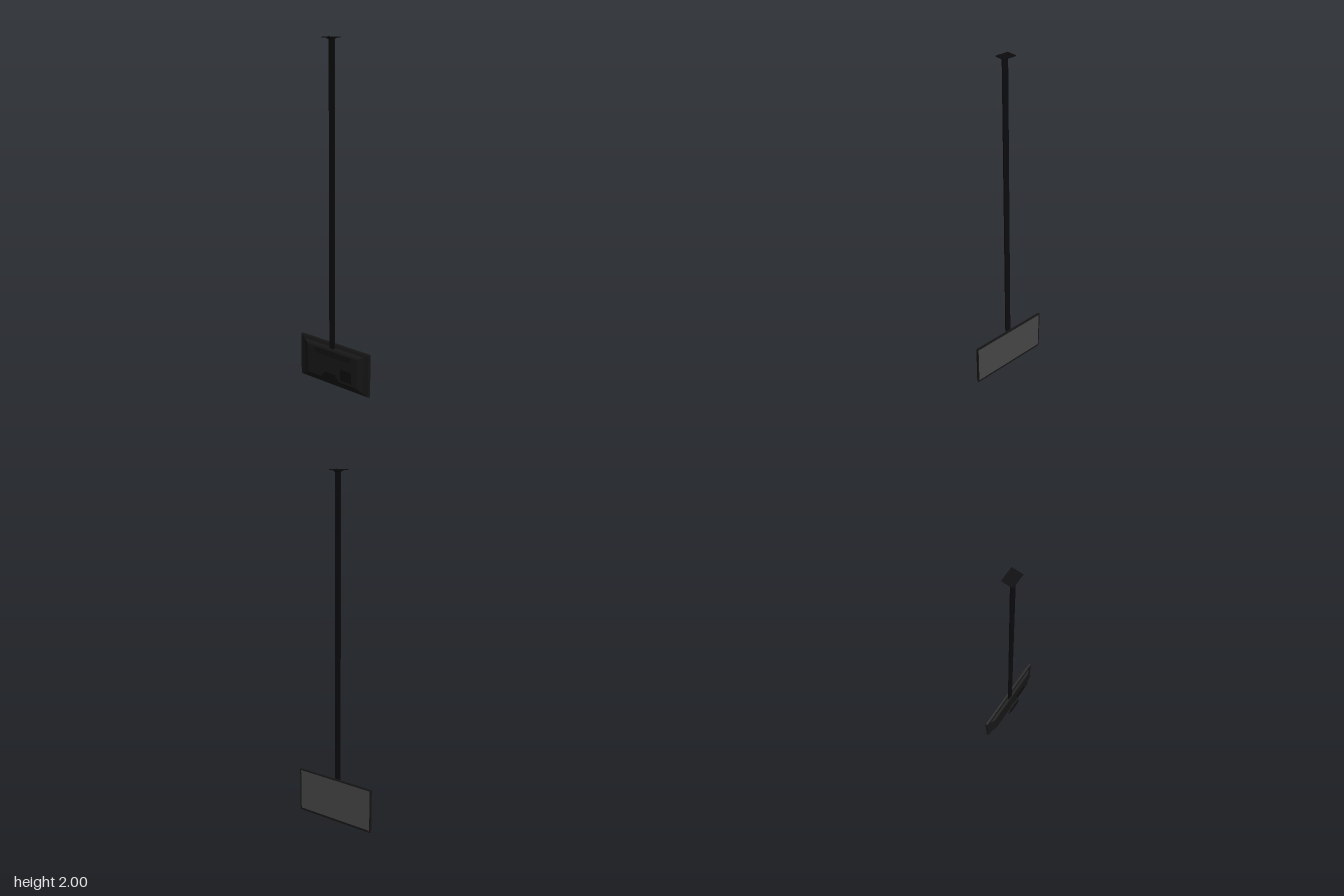
import * as THREE from 'three';

const mat = (color) => new THREE.MeshStandardMaterial({ color, flatShading: true });
const black = mat(0x0c0c0e), casing = mat(0x161616), glass = mat(0x454545), red = mat(0x900010);

function add(parent, name, geometry, material, x = 0, y = 0, z = 0) {
  const mesh = new THREE.Mesh(geometry, material);
  mesh.name = name;
  mesh.position.set(x, y, z);
  parent.add(mesh);
  return mesh;
}
const box = (x, y, z) => new THREE.BoxGeometry(x, y, z);

// Closed loft through rectangles [x, zHalf, yLow, yHigh], ordered from +x to -x
function loftRects(sections) {
  const pos = [], idx = [];
  for (const [x, z, lo, hi] of sections) pos.push(x, lo, z, x, lo, -z, x, hi, -z, x, hi, z);
  const last = (sections.length - 1) * 4;
  for (let s = 0; s < last; s += 4) {
    for (let i = 0; i < 4; i++) {
      const j = (i + 1) % 4;
      idx.push(s + i, s + 4 + i, s + j, s + j, s + 4 + i, s + 4 + j);
    }
  }
  idx.push(0, 1, 2, 0, 2, 3, last, last + 2, last + 1, last, last + 3, last + 2);
  const g = new THREE.BufferGeometry();
  g.setAttribute('position', new THREE.Float32BufferAttribute(pos, 3));
  g.setIndex(idx);
  const flat = g.toNonIndexed();
  flat.computeVertexNormals();
  return flat;
}

export function createModel() {
  const model = new THREE.Group();
  model.name = 'ceilingScreen';

  // Ceiling plate with a short tapered collar
  add(model, 'ceilingPlate', box(0.061, 0.004, 0.078), black, -0.0055, 1.998, -0.003);
  const collar = new THREE.CylinderGeometry(0.032, 0.014, 0.01, 4, 1);
  collar.rotateY(Math.PI / 4);
  add(model, 'plateCollar', collar, black, -0.0055, 1.991, 0);

  // Slightly leaning flat pole
  const top = new THREE.Vector3(-0.006, 1.997, 0.002);
  const bottom = new THREE.Vector3(0.009, 0.24, -0.007);
  const axis = top.clone().sub(bottom);
  const pole = add(model, 'pole', box(0.008, axis.length(), 0.034), black);
  pole.position.copy(top).add(bottom).multiplyScalar(0.5);
  pole.quaternion.setFromUnitVectors(new THREE.Vector3(0, 1, 0), axis.normalize());

  const display = new THREE.Group();
  display.name = 'display';
  model.add(display);

  // Casing: rim stepping in to a bulging back
  add(display, 'casing', loftRects([
    [0.031, 0.248, 0.005, 0.27],
    [0.018, 0.246, 0.007, 0.268],
    [0.013, 0.213, 0.022, 0.25],
    [0.002, 0.194, 0.038, 0.24],
    [-0.003, 0.176, 0.05, 0.23],
  ]), casing);

  // Raised bezel and glass
  for (const s of [1, -1]) {
    add(display, 'bezelSide', box(0.003, 0.265, 0.007), casing, 0.0315, 0.1375, s * 0.2445);
  }
  add(display, 'bezelTop', box(0.003, 0.006, 0.482), casing, 0.0315, 0.267, 0);
  add(display, 'bezelBottom', box(0.003, 0.012, 0.482), casing, 0.0315, 0.011, 0);
  add(display, 'screen', box(0.002, 0.247, 0.482), glass, 0.0311, 0.1405, 0);
  add(display, 'indicator', box(0.001, 0.003, 0.006), red, 0.033, 0.011, -0.236);

  // Connector panel and vents on the back
  add(display, 'connectorPanel', box(0.002, 0.07, 0.08), black, -0.003, 0.1, 0.1);
  for (let i = 0; i < 5; i++) {
    add(display, 'vent', box(0.001, 0.003, 0.26), black, -0.003, 0.195 + i * 0.007, 0);
  }

  // Small mounting foot behind the lower back, with tapered ends
  add(display, 'footNeck', box(0.018, 0.02, 0.05), black, -0.008, 0.067, -0.002);
  const outline = new THREE.Shape([
    [-0.021, -0.058], [-0.015, -0.058], [-0.011, -0.038],
    [-0.011, 0.038], [-0.015, 0.058], [-0.021, 0.058],
  ].map(([x, z]) => new THREE.Vector2(x, -z)));
  const foot = new THREE.ExtrudeGeometry(outline, { depth: 0.024, bevelEnabled: false });
  foot.rotateX(-Math.PI / 2);
  add(display, 'foot', foot, black, 0, 0.055, -0.002);
  add(display, 'footPlate', box(0.004, 0.062, 0.08), black, -0.019, 0.067, -0.002);

  return model;
}
